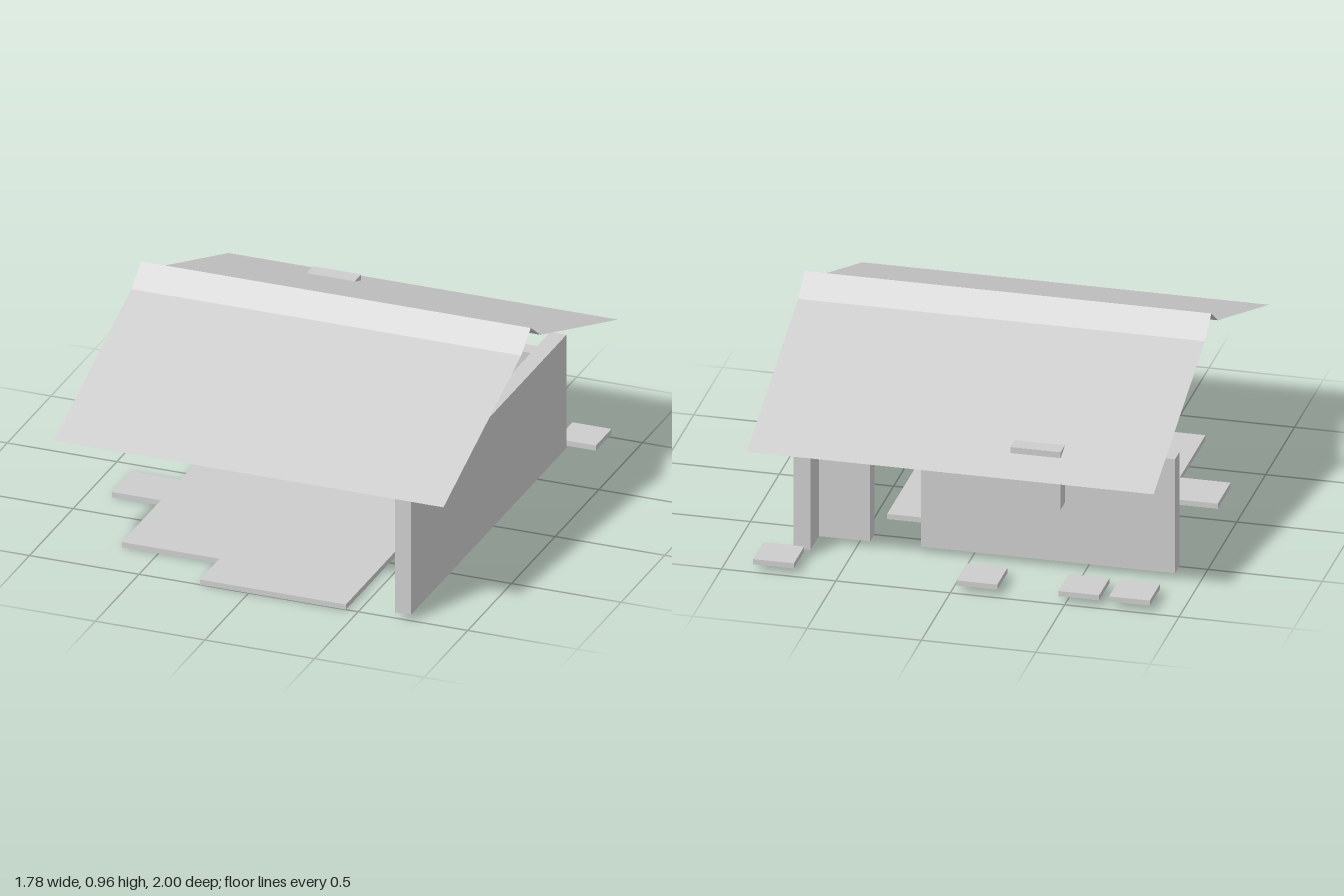
import * as THREE from 'three';

const grey = new THREE.MeshStandardMaterial({ color: 0xcccccc, side: THREE.DoubleSide });
grey.name = 'plain grey';

// Box given by its limits on each axis
function box(name, [x0, x1], [y0, y1], [z0, z1]) {
  const mesh = new THREE.Mesh(new THREE.BoxGeometry(x1 - x0, y1 - y0, z1 - z0), grey);
  mesh.name = name;
  mesh.position.set((x0 + x1) / 2, (y0 + y1) / 2, (z0 + z1) / 2);
  return mesh;
}

// Flat roof sheet running along x between two [y, z] edges, lower edge first
function roofSheet(name, [y0, z0], [y1, z1], halfLength) {
  const h = halfLength;
  const corners = [-h, y0, z0, h, y0, z0, h, y1, z1, -h, y1, z1];
  const geometry = new THREE.BufferGeometry();
  geometry.setAttribute('position', new THREE.Float32BufferAttribute(corners, 3));
  geometry.setIndex(z0 > 0 ? [0, 1, 2, 0, 2, 3] : [0, 2, 1, 0, 3, 2]);
  geometry.computeVertexNormals();
  const mesh = new THREE.Mesh(geometry, grey);
  mesh.name = name;
  return mesh;
}

export function createModel() {
  const model = new THREE.Group();
  model.name = 'house';

  // Stepped floor slab, outlined in x and z
  const outline = [
    [0.444, 1], [-0.222, 1], [-0.222, 0.778], [-0.667, 0.778], [-0.667, 0.333],
    [-0.889, 0.333], [-0.889, 0.111], [-0.667, 0.111], [-0.667, -0.333], [0.444, -0.333],
  ];
  const shape = new THREE.Shape(outline.map(([x, z]) => new THREE.Vector2(x, -z)));
  const slab = new THREE.ExtrudeGeometry(shape, { depth: 0.024, bevelEnabled: false });
  slab.rotateX(-Math.PI / 2);
  const floor = new THREE.Mesh(slab, grey);
  floor.name = 'floorSlab';
  model.add(floor);

  // Walls, with a doorway gap in the back
  const wallY = [0.027, 0.558];
  const backZ = [-0.63, -0.556];
  model.add(
    box('sideWall', [0.667, 0.741], wallY, [-0.778, 1]),
    box('backWallLong', [-0.889, 0.222], wallY, backZ),
    box('backWallShort', [0.444, 0.667], wallY, backZ),
  );

  // Raised panel behind the back wall, reaching through the roof
  model.add(box('rearPanel', [-0.445, -0.225], [0.372, 0.639], [-0.852, -0.778]));

  // Paving tiles along the back
  for (const x of [0.778, -0.111, -0.556, -0.778]) {
    model.add(box('pavingTile', [x - 0.089, x + 0.089], [0.027, 0.051], [-0.978, -0.8]));
  }

  // Thin gable roof with a steeper ridge cap, mirrored front to back
  const roof = new THREE.Group();
  roof.name = 'roof';
  for (const [label, s] of [['front', 1], ['back', -1]]) {
    roof.add(
      roofSheet(label + 'Slope', [0.558, s], [0.878, s * 0.111], 0.889),
      roofSheet(label + 'RidgeCap', [0.878, s * 0.111], [0.959, 0], 0.889),
    );
  }
  model.add(roof);
  return model;
}
